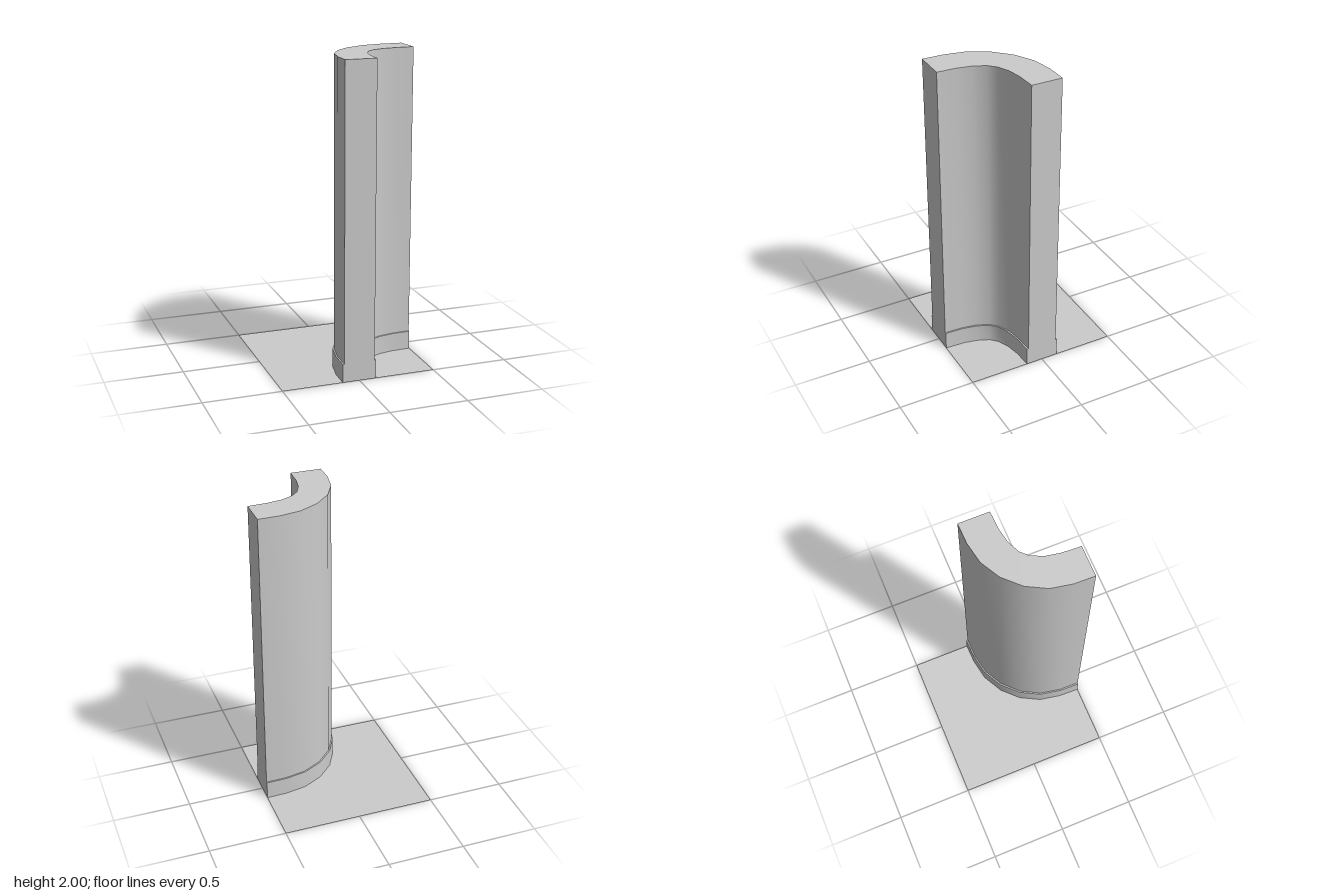
import * as THREE from 'three';
import { toCreasedNormals } from 'three/addons/utils/BufferGeometryUtils.js';

const material = new THREE.MeshStandardMaterial({ color: 0xcccccc, side: THREE.DoubleSide });

// Half of each quarter curve, as distances from the corner (0.5, 0.5); the rest is mirrored.
const wallOuter = [[0.6, 0], [0.597, 0.135], [0.571, 0.273], [0.503, 0.4]];
const wallInner = [[0.4, 0], [0.394, 0.125], [0.377, 0.218], [0.342, 0.296]];
const baseOuter = [[0.61, 0], [0.606, 0.135], [0.58, 0.275], [0.51, 0.407]];
const baseInner = [[0.39, 0], [0.385, 0.123], [0.367, 0.214], [0.335, 0.29]];

function fullCurve(half) {
  const mirrored = half.map(([a, b]) => [b, a]).reverse();
  return [...half, ...mirrored].map(([a, b]) => new THREE.Vector2(0.5 - a, b - 0.5));
}

// Upright curved block between two plan curves
function curvedBlock(name, outer, inner, bottom, top) {
  const shape = new THREE.Shape([...fullCurve(outer), ...fullCurve(inner).reverse()]);
  const geometry = new THREE.ExtrudeGeometry(shape, { depth: top - bottom, bevelEnabled: false });
  geometry.rotateX(-Math.PI / 2);
  geometry.translate(0, bottom, 0);
  const mesh = new THREE.Mesh(toCreasedNormals(geometry, 0.6), material);
  mesh.name = name;
  return mesh;
}

export function createModel() {
  const group = new THREE.Group();
  group.name = 'curvedCornerWall';

  // Thin square floor
  const floor = new THREE.Mesh(new THREE.PlaneGeometry(1, 1).rotateX(-Math.PI / 2), material);
  floor.name = 'floor';

  group.add(
    floor,
    curvedBlock('wall', wallOuter, wallInner, 0.12, 2),
    curvedBlock('baseboard', baseOuter, baseInner, 0, 0.12)
  );
  return group;
}
